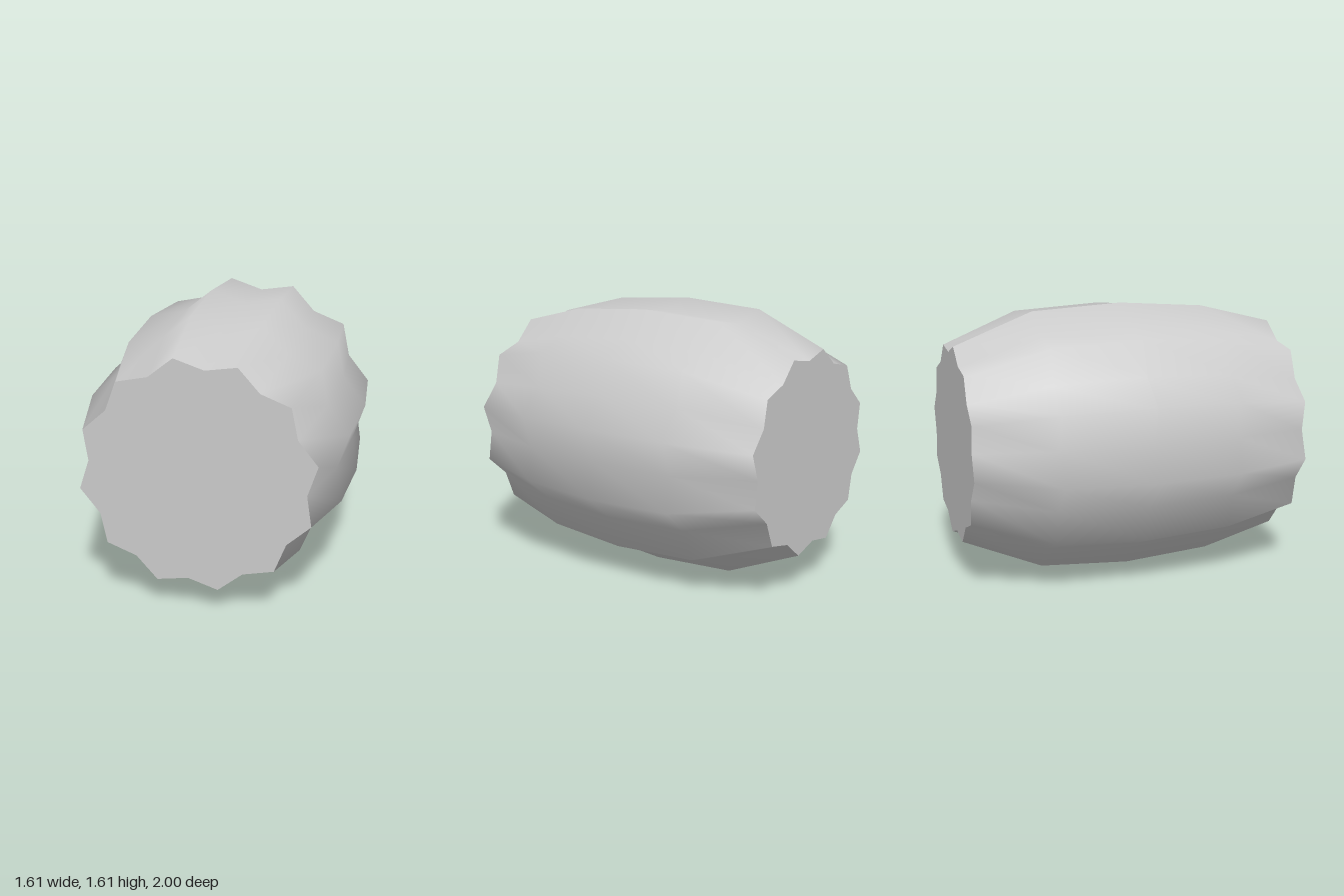
import * as THREE from 'three';

const TEETH = 12;
const CENTRE_Y = 0.807;
const VALLEY = 0.904; // valley radius relative to tip radius
const START = THREE.MathUtils.degToRad(10);

// Tip radius at stations along the barrel, from back to front
const STATIONS = [[-1, 0.592], [-0.54, 0.784], [0, 0.819], [0.53, 0.784], [1, 0.67]];

// Zigzag outline of one cross-section, anticlockwise seen from the front
function outline(radius) {
  const points = [];
  for (let i = 0; i < TEETH * 2; i++) {
    const angle = START + (i * Math.PI) / TEETH;
    const r = i % 2 ? radius * VALLEY : radius;
    points.push(new THREE.Vector2(Math.cos(angle) * r, Math.sin(angle) * r));
  }
  return points;
}

// Ribbed wall lofted through the stations, sharing vertices for smooth normals
function wallGeometry() {
  const positions = [];
  const index = [];
  const n = TEETH * 2;
  for (const [z, radius] of STATIONS) {
    for (const p of outline(radius)) positions.push(p.x, p.y, z);
  }
  for (let s = 0; s < STATIONS.length - 1; s++) {
    for (let i = 0; i < n; i++) {
      const a = s * n + i;
      const b = s * n + ((i + 1) % n);
      index.push(a, b, b + n, a, b + n, a + n);
    }
  }
  const geometry = new THREE.BufferGeometry();
  geometry.setAttribute('position', new THREE.Float32BufferAttribute(positions, 3));
  geometry.setIndex(index);
  geometry.computeVertexNormals();
  return geometry;
}

// Flat end cap; the back one is mirrored in x and turned to face backwards
function capGeometry([z, radius]) {
  const points = outline(radius);
  if (z < 0) points.forEach((p) => { p.x = -p.x; });
  const geometry = new THREE.ShapeGeometry(new THREE.Shape(points));
  if (z < 0) geometry.rotateY(Math.PI);
  return geometry.translate(0, 0, z);
}

export function createModel() {
  const group = new THREE.Group();
  group.name = 'ribbedBarrel';
  const material = new THREE.MeshStandardMaterial({ color: 0xcccccc });

  const add = (name, geometry) => {
    const mesh = new THREE.Mesh(geometry, material);
    mesh.name = name;
    mesh.position.y = CENTRE_Y;
    group.add(mesh);
  };

  add('barrelWall', wallGeometry());
  add('backCap', capGeometry(STATIONS[0]));
  add('frontCap', capGeometry(STATIONS[STATIONS.length - 1]));
  return group;
}
